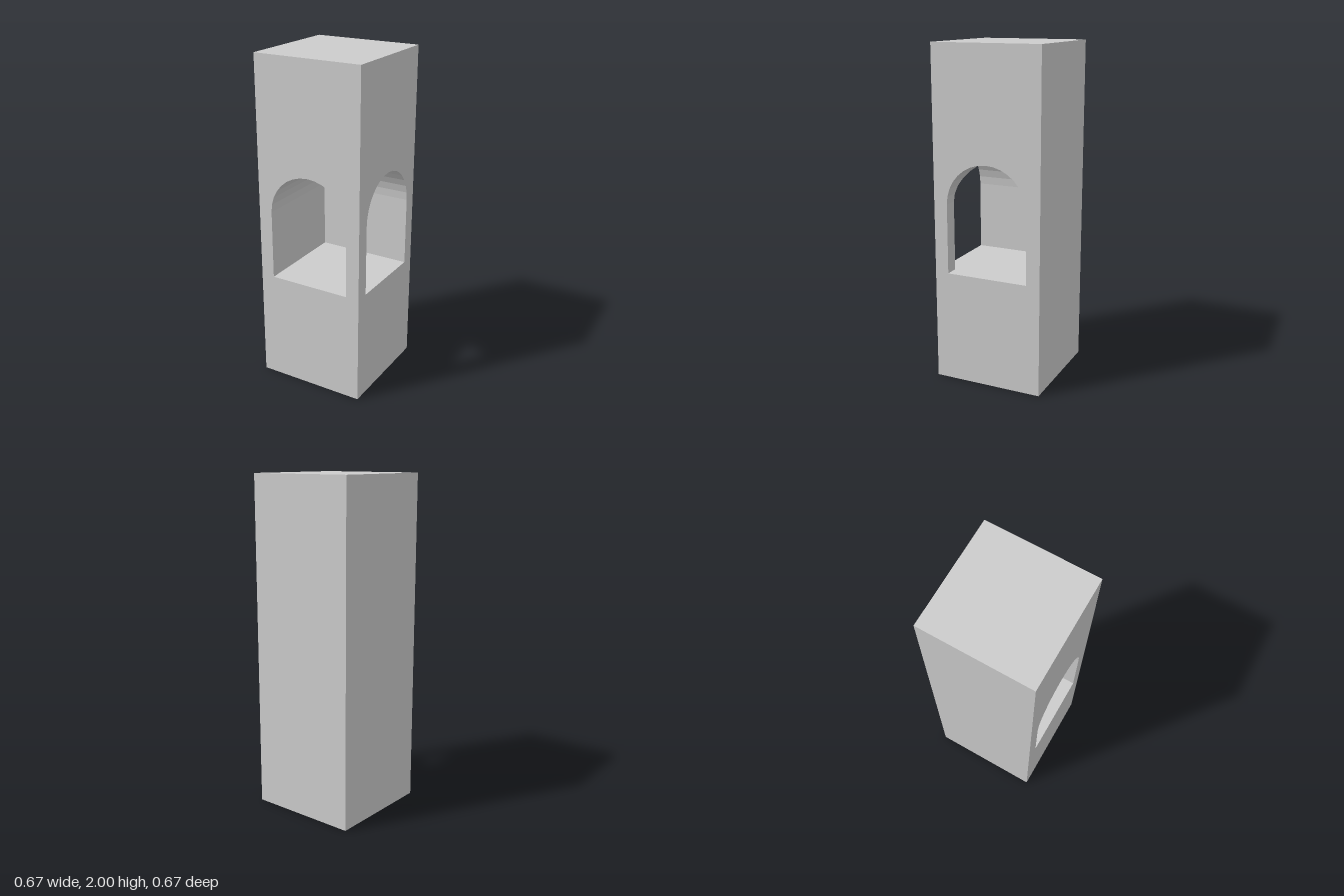
import * as THREE from 'three';

const HALF = 1 / 3;      // half width of the square pillar
const HEIGHT = 2;
const SILL = 2 / 3;      // floor of the openings
const RADIUS = 0.25;     // half width of the openings
const SPRING = 4 / 3 - RADIUS;
const ARC_STEPS = 16;

// Arch outline, counter-clockwise: sill, right jamb, arc, left jamb
function archPoints() {
  const pts = [new THREE.Vector2(-RADIUS, SILL), new THREE.Vector2(RADIUS, SILL)];
  for (let i = 0; i <= ARC_STEPS; i++) {
    const a = (Math.PI * i) / ARC_STEPS;
    pts.push(new THREE.Vector2(RADIUS * Math.cos(a), SPRING + RADIUS * Math.sin(a)));
  }
  return pts;
}

// Wall panel pierced by the arch, facing +z
function archedWallGeometry() {
  const wall = new THREE.Shape([
    new THREE.Vector2(-HALF, 0), new THREE.Vector2(HALF, 0),
    new THREE.Vector2(HALF, HEIGHT), new THREE.Vector2(-HALF, HEIGHT),
  ]);
  wall.holes.push(new THREE.Path(archPoints().reverse()));
  return new THREE.ShapeGeometry(wall).translate(0, 0, HALF);
}

// Arch swept from the front face, around a mitred corner, out of the side face
function passageGeometry() {
  const pts = archPoints();
  const rings = [
    (p) => [p.x, p.y, HALF],
    (p) => [p.x, p.y, p.x],
    (p) => [HALF, p.y, p.x],
  ];
  const pos = [];
  for (let r = 0; r < 2; r++) {
    pts.forEach((p, i) => {
      const q = pts[(i + 1) % pts.length];
      const a0 = rings[r](p), b0 = rings[r](q);
      const a1 = rings[r + 1](p), b1 = rings[r + 1](q);
      pos.push(...a0, ...b0, ...b1, ...a0, ...b1, ...a1);
    });
  }
  const geo = new THREE.BufferGeometry();
  geo.setAttribute('position', new THREE.Float32BufferAttribute(pos, 3));
  geo.computeVertexNormals();
  return geo;
}

export function createModel() {
  const group = new THREE.Group();
  group.name = 'archedPillar';
  const material = new THREE.MeshStandardMaterial({ color: 0xcccccc, flatShading: true });
  const add = (name, geometry) => {
    const mesh = new THREE.Mesh(geometry, material);
    mesh.name = name;
    group.add(mesh);
  };

  // Two pierced walls
  add('frontWall', archedWallGeometry());
  add('leftWall', archedWallGeometry().rotateY(Math.PI / 2));

  // Two closed walls
  const closedWall = () =>
    new THREE.PlaneGeometry(2 * HALF, HEIGHT).translate(0, HEIGHT / 2, HALF);
  add('backWall', closedWall().rotateY(Math.PI));
  add('rightWall', closedWall().rotateY(-Math.PI / 2));

  // Top and bottom
  const cap = () => new THREE.PlaneGeometry(2 * HALF, 2 * HALF);
  add('top', cap().rotateX(-Math.PI / 2).translate(0, HEIGHT, 0));
  add('bottom', cap().rotateX(Math.PI / 2));

  // Vaulted passage turning the corner
  add('vaultedPassage', passageGeometry());
  return group;
}
